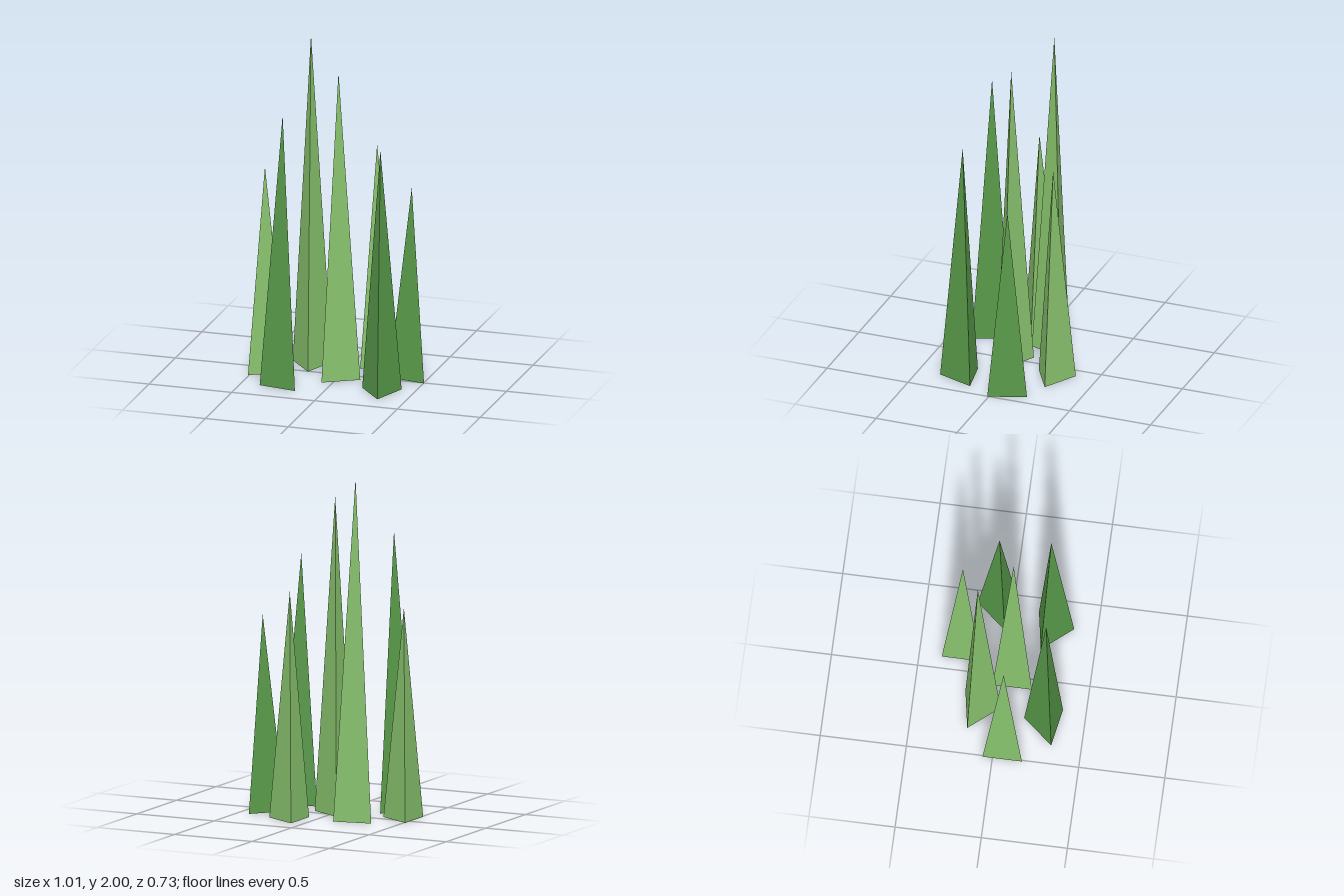
import * as THREE from 'three';

export function createModel() {
  const group = new THREE.Group();
  group.name = 'grassTuft';

  const light = new THREE.MeshStandardMaterial({ color: 0x86c06c, flatShading: true });
  const dark = new THREE.MeshStandardMaterial({ color: 0x579848, flatShading: true });

  // Each blade: x, z, height, turn in degrees, material
  const blades = [
    [-0.22, -0.122, 2.0, 10, light],
    [0.003, 0.057, 1.85, 90, light],
    [-0.263, 0.28, 1.635, 50, dark],
    [0.313, 0.235, 1.465, 10, dark],
    [0.137, -0.255, 1.33, 90, light],
    [-0.441, 0.057, 1.235, 90, light],
    [0.403, -0.077, 1.15, 50, dark],
  ];

  // Tall three-sided spikes standing on the ground
  blades.forEach(([x, z, height, turn, material], i) => {
    const geometry = new THREE.ConeGeometry(0.132, height, 3);
    geometry.translate(0, height / 2, 0);
    const blade = new THREE.Mesh(geometry, material);
    blade.name = `blade${i + 1}`;
    blade.position.set(x, 0, z);
    blade.rotation.y = THREE.MathUtils.degToRad(turn);
    group.add(blade);
  });

  return group;
}
